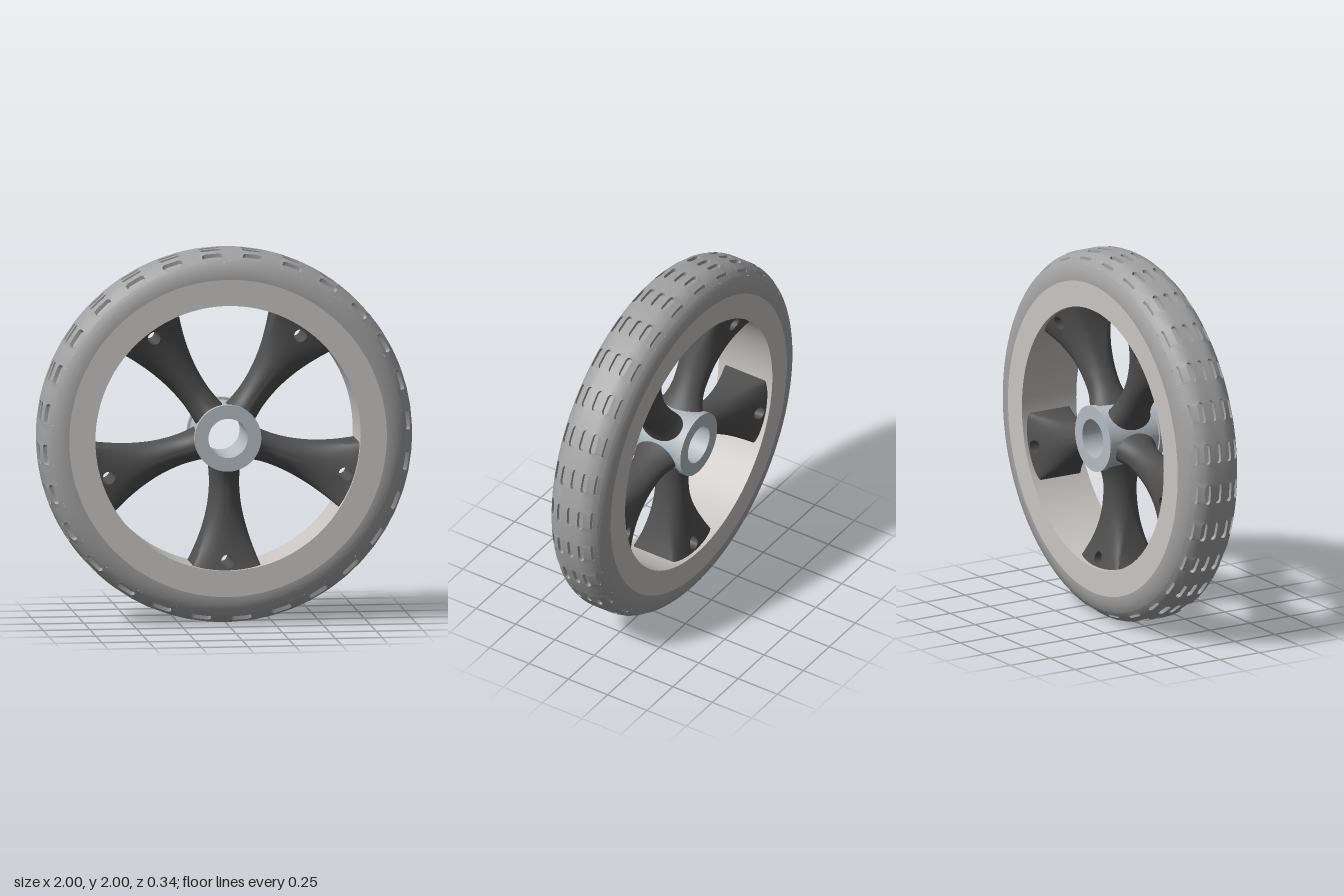
import * as THREE from 'three';
import { toCreasedNormals } from 'three/addons/utils/BufferGeometryUtils.js';

const V = (x, y, z) => new THREE.Vector3(x, y, z);
const mat = (color) => new THREE.MeshStandardMaterial({ color });

function named(name, geometry, material) {
  const mesh = new THREE.Mesh(geometry, material);
  mesh.name = name;
  return mesh;
}

// Collects quads (counter-clockwise corners) into one geometry
function quadBuilder() {
  const pos = [];
  return {
    quad(a, b, c, d) {
      for (const p of [a, b, c, a, c, d]) pos.push(p.x, p.y, p.z);
    },
    build(crease) {
      const g = new THREE.BufferGeometry();
      g.setAttribute('position', new THREE.Float32BufferAttribute(pos, 3));
      return toCreasedNormals(g, crease);
    },
  };
}

// Ring turned about the z axis from [radius, z] points
function ring(points, crease = 0.6) {
  const g = new THREE.LatheGeometry(points.map(([r, z]) => new THREE.Vector2(r, z)), 112);
  g.rotateX(Math.PI / 2);
  return toCreasedNormals(g, crease);
}

// Tyre section: flat crown with elliptical shoulders
const HALF = 0.17, SHOULDER = 0.85;
function tyreRadius(z) {
  const t = Math.min(1, Math.max(0, (Math.abs(z) - 0.05) / 0.12));
  return SHOULDER + 0.15 * Math.sqrt(1 - t * t);
}

// Tread band with rows of recessed rounded slots
function treadGeometry() {
  const PERIODS = 28, EDGE = 0.145, DEPTH = 0.02;
  const slots = [[-0.125, 0.006], [-0.07, 0.016], [-0.005, 0.016], [0.06, 0.016], [0.12, 0.016]];
  // column offset along the circumference, and slot width factor there
  const cols = [[-0.084, 1], [-0.056, 0.35], [-0.049, 0.8], [-0.037, 1],
    [0.037, 1], [0.049, 0.8], [0.056, 0.35], [0.084, 1]];
  const rows = 2 * slots.length + 2;
  const n = cols.length;
  const point = (i, j, depth = 0) => {
    const [offset, f] = cols[i % n];
    const angle = Math.floor(i / n) / PERIODS * Math.PI * 2 + offset + 0.08;
    let z = j === 0 ? -EDGE : EDGE;
    if (j > 0 && j < rows - 1) {
      const [z0, hw] = slots[Math.floor((j - 1) / 2)];
      z = z0 + (j % 2 ? -1 : 1) * hw * f;
    }
    const r = tyreRadius(z) - depth;
    return V(r * Math.cos(angle), r * Math.sin(angle), z);
  };
  const isSlot = (i, j) => j % 2 === 1 && j < rows - 1 && i % n >= 1 && i % n <= 5;
  const q = quadBuilder();
  for (let i = 0; i < PERIODS * n; i++) {
    for (let j = 0; j < rows - 1; j++) {
      const corners = [[i, j], [i + 1, j], [i + 1, j + 1], [i, j + 1]];
      const neighbours = [[i, j - 1], [i + 1, j], [i, j + 1], [i - 1, j]];
      const slot = isSlot(i, j);
      q.quad(...corners.map(([a, b]) => point(a, b, slot ? DEPTH : 0)));
      if (!slot) continue;
      corners.forEach((c, k) => {
        if (isSlot(...neighbours[k])) return;
        const d = corners[(k + 1) % 4];
        q.quad(point(...c), point(...d), point(...d, DEPTH), point(...c, DEPTH));
      });
    }
  }
  return q.build(0.6);
}

// Rounded shoulder from the tread edge to the side of the rim
function shoulderPoints(side) {
  const pts = [];
  const a0 = Math.acos((0.145 - 0.05) / 0.12);
  for (let k = 0; k <= 10; k++) {
    const a = a0 * (1 - k / 10);
    pts.push([SHOULDER + 0.15 * Math.sin(a), side * (0.05 + 0.12 * Math.cos(a))]);
  }
  return side > 0 ? pts : pts.reverse();
}

// Flared spoke along +y, oval near the hub, flat-sided at the rim, with a through hole
function spokeGeometry() {
  const STEP = 0.018, NU = 10, HOLE_R = 0.665, H = 2 * STEP;
  const width = (r) => 0.08 + 0.11 * Math.pow(Math.abs(r - 0.25) / 0.46, 1.8);
  const depth = (r) => (r < 0.3 ? 0.09 + 0.04 * ((0.3 - r) / 0.15) ** 2
    : 0.09 + 0.06 * ((r - 0.3) / 0.41) ** 2);
  const wall = (r) => 0.13 * Math.pow(Math.max(0, r - 0.35) / 0.35, 1.5);
  const point = (i, k, side) => {
    let a = i * STEP, b = k * STEP;
    // pull the grid squares around the hole into a circle
    const s = Math.max(Math.abs(a), Math.abs(b)), e = Math.hypot(a, b);
    if (e > 0 && s < 2 * H) {
      const t = Math.max(0, (s - H) / H);
      const f = THREE.MathUtils.lerp(s / e, 1, t);
      a *= f;
      b *= f;
    }
    const r = HOLE_R + b;
    let u = Math.abs(a) / (NU * STEP);
    if (u > 0.4) u = 0.4 + 0.6 * Math.sin(Math.min(1, (u - 0.4) / 0.6) * Math.PI / 2);
    const z = wall(r) + (depth(r) - wall(r)) * Math.sqrt(Math.max(0, 1 - u * u));
    return V(Math.sign(a) * u * width(r), r, side * z);
  };
  const K0 = -31, K1 = 4;
  const solid = (i, k) => i >= -NU && i < NU && k >= K0 && k < K1
    && !(i >= -2 && i < 2 && k >= -2 && k < 2);
  const q = quadBuilder();
  for (let i = -NU; i < NU; i++) {
    for (let k = K0; k < K1; k++) {
      if (!solid(i, k)) continue;
      const corners = [[i, k], [i + 1, k], [i + 1, k + 1], [i, k + 1]];
      const neighbours = [[i, k - 1], [i + 1, k], [i, k + 1], [i - 1, k]];
      q.quad(...corners.map((c) => point(...c, 1)));
      q.quad(...corners.map((c) => point(...c, -1)).reverse());
      corners.forEach((c, m) => {
        if (solid(...neighbours[m])) return;
        const d = corners[(m + 1) % 4];
        q.quad(point(...c, 1), point(...c, -1), point(...d, -1), point(...d, 1));
      });
    }
  }
  return q.build(0.7);
}

export function createModel() {
  const model = new THREE.Group();
  model.name = 'wheel';
  const wheel = new THREE.Group();
  wheel.name = 'wheelBody';
  wheel.position.y = 1;
  model.add(wheel);

  // Tyre
  const rubber = mat(0xa2a2a2);
  const tyre = new THREE.Group();
  tyre.name = 'tyre';
  tyre.add(
    named('tread', treadGeometry(), rubber),
    named('frontShoulder', ring(shoulderPoints(1)), rubber),
    named('backShoulder', ring(shoulderPoints(-1)), rubber),
  );
  wheel.add(tyre);

  // Rim
  wheel.add(named('rim', ring([[SHOULDER, HALF], [0.71, HALF], [0.71, -HALF], [SHOULDER, -HALF]]), mat(0xc8c5c2)));

  // Hub: bored sleeve with a flange at each end
  wheel.add(named('hub', ring([
    [0.105, -HALF], [0.178, -HALF], [0.178, -0.14], [0.165, -0.14],
    [0.165, 0.14], [0.178, 0.14], [0.178, HALF], [0.105, HALF], [0.105, -HALF],
  ]), mat(0xb4bcc2)));

  // Five spokes, one pointing straight down
  const spoke = spokeGeometry();
  const dark = mat(0x505050);
  for (let i = 0; i < 5; i++) {
    const mesh = named('spoke' + (i + 1), spoke, dark);
    mesh.rotation.z = Math.PI + i * Math.PI * 2 / 5;
    wheel.add(mesh);
  }
  return model;
}
